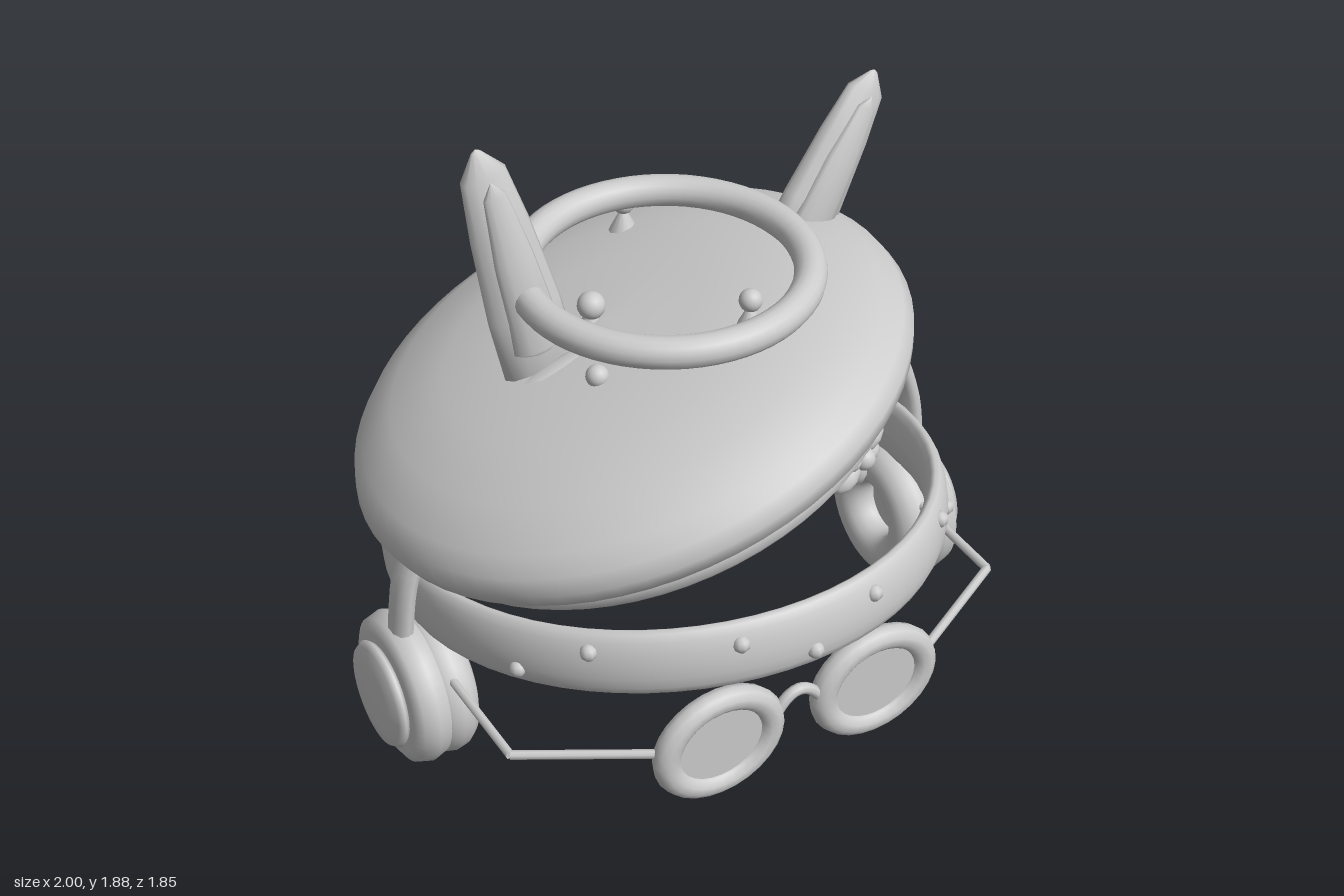
import * as THREE from 'three';

export function createModel() {
  const root = new THREE.Group();
  const plaster = new THREE.MeshStandardMaterial({ color: 0xcccccc, side: THREE.DoubleSide });
  plaster.name = 'plain grey';

  const V = (x, y, z) => new THREE.Vector3(x, y, z);
  const add = (name, geo, pos = [0, 0, 0], rot = [0, 0, 0], scale = [1, 1, 1], parent = root) => {
    const m = new THREE.Mesh(geo, plaster);
    m.name = name;
    m.position.set(...pos);
    m.rotation.set(...rot);
    m.scale.set(...scale);
    parent.add(m);
    return m;
  };
  const group = (name, pos, rot = [0, 0, 0], parent = root) => {
    const g = new THREE.Group();
    g.name = name;
    g.position.set(...pos);
    g.rotation.set(...rot);
    parent.add(g);
    return g;
  };
  const lathe = (pts, seg = 48) => new THREE.LatheGeometry(pts.map(p => new THREE.Vector2(...p)), seg);
  const ball = (r, seg = 16) => new THREE.SphereGeometry(r, seg, Math.ceil(seg * 0.7));
  const rod = (name, a, b, r) => {
    const d = b.clone().sub(a);
    const m = add(name, new THREE.CylinderGeometry(r, r, d.length(), 8));
    m.position.copy(a).addScaledVector(d, 0.5);
    m.quaternion.setFromUnitVectors(V(0, 1, 0), d.normalize());
  };

  // Tilted beret: domed top, rolled lip, nearly flat underside and an inner rim
  const beret = group('beret', [-0.1, 1.03, 0.02], [-0.134, 0, 0.304]);
  add('beretDome', lathe([[0, -0.015], [0.3, -0.01], [0.42, 0.01], [0.6, 0.01], [0.7, -0.01], [0.73, -0.07], [0.79, -0.085],
    [0.845, -0.05], [0.862, 0], [0.845, 0.05], [0.8, 0.1], [0.68, 0.175], [0.5, 0.22], [0.3, 0.245], [0, 0.255]], 64),
  [0, 0, 0], [0, 0, 0], [1, 1, 1], beret);
  add('beretRim', new THREE.TorusGeometry(0.742, 0.037, 10, 64), [0, -0.11, 0], [Math.PI / 2, 0, 0], [1, 1, 1.45], beret);

  // Sloping headband with studs
  const band = group('headband', [0, 0.555, 0.05], [-0.147, 0, 0]);
  const section = [];
  for (let i = 0; i <= 16; i++) {
    const a = -i / 16 * Math.PI * 2;
    section.push([0.822 - 0.036 * Math.cos(a), 0.105 * Math.sin(a)]);
  }
  add('headbandRing', lathe(section, 64), [0, 0, 0], [0, 0, 0], [1, 1, 1], band);
  for (const [x, y] of [[-0.59, 0.045], [-0.22, 0.04], [0.22, 0.04], [0.59, 0.045], [-0.73, -0.05], [0, -0.05], [0.73, -0.05]]) {
    add('stud', ball(0.026, 8), [x, y, Math.sqrt(0.85 ** 2 - x * x)], [0, 0, 0], [1, 1, 1], band);
  }

  // Headphone bow, just breaking through the crown of the beret
  const bow = new THREE.CatmullRomCurve3([V(0.9, 0.42, 0), V(0.865, 0.7, 0), V(0.765, 0.92, 0), V(0.58, 1.09, 0), V(0.3, 1.21, 0),
    V(0, 1.25, 0), V(-0.3, 1.205, 0), V(-0.52, 1.105, 0), V(-0.74, 0.9, 0), V(-0.86, 0.68, 0), V(-0.9, 0.42, 0)]);
  add('headphoneBow', new THREE.TubeGeometry(bow, 64, 0.034, 10), [0, 0, 0.06], [0, 0, 0], [1, 1, 1.6]);

  // Ear cups: cushion, housing and outer cap
  const housing = lathe([[0, 0.83], [0.19, 0.83], [0.225, 0.85], [0.238, 0.89], [0.225, 0.935], [0.19, 0.955], [0, 0.955]]);
  const cap = lathe([[0, 0.95], [0.155, 0.95], [0.168, 0.968], [0.155, 0.988], [0.1, 0.998], [0, 1.0]]);
  const cushion = new THREE.TorusGeometry(0.16, 0.074, 14, 40);
  for (const s of [1, -1]) {
    const cup = group(s > 0 ? 'leftEarCup' : 'rightEarCup', [0, 0.245, 0.06]);
    add('cupHousing', housing, [0, 0, 0], [0, 0, -s * Math.PI / 2], [1, 1, 1], cup);
    add('cupCap', cap, [0, 0, 0], [0, 0, -s * Math.PI / 2], [1, 1, 1], cup);
    add('cupCushion', cushion, [s * 0.81, 0, 0], [0, Math.PI / 2, 0], [1, 1, 1], cup);

    // Goggles: oval frame, lens and side rods
    const gog = group(s > 0 ? 'leftGoggle' : 'rightGoggle', [s * 0.263, 0.337, 0.815]);
    add('goggleFrame', new THREE.TorusGeometry(0.186, 0.045, 10, 28), [0, 0, 0], [0, 0, 0], [0.93, 0.82, 0.86], gog);
    add('goggleLens', new THREE.CylinderGeometry(0.17, 0.17, 0.03, 32), [0, 0, 0], [Math.PI / 2, 0, 0], [0.96, 1, 0.85], gog);
    rod('goggleArm', V(s * 0.43, 0.37, 0.82), V(s * 0.82, 0.37, 0.6), 0.014);
    rod('goggleTemple', V(s * 0.82, 0.37, 0.6), V(s * 0.82, 0.37, 0.18), 0.014);
  }
  const bridge = new THREE.QuadraticBezierCurve3(V(-0.075, 0.36, 0.82), V(0, 0.48, 0.82), V(0.075, 0.36, 0.82));
  add('goggleBridge', new THREE.TubeGeometry(bridge, 14, 0.018, 8));

  // Knot and two pointed tails at the back
  add('knot', ball(0.105, 24), [0, 0.42, -0.84], [0, 0, 0], [1.05, 1, 0.84]);
  const leaf = new THREE.Shape();
  leaf.moveTo(-0.025, 0);
  leaf.quadraticCurveTo(-0.07, -0.13, -0.075, -0.22);
  leaf.quadraticCurveTo(-0.06, -0.29, 0, -0.36);
  leaf.quadraticCurveTo(0.06, -0.29, 0.075, -0.22);
  leaf.quadraticCurveTo(0.07, -0.13, 0.025, 0);
  const tail = new THREE.ExtrudeGeometry(leaf, { depth: 0.012, bevelSize: 0.008, bevelThickness: 0.012, bevelSegments: 2 });
  for (const s of [1, -1]) add('tail', tail, [s * 0.025, 0.4, -0.9], [-0.08, -s * 0.15, s * 0.36]);

  // Tall flattened ears with a raised inner panel
  const ear = (name, base, tip, w) => {
    const a = V(...base), d = V(...tip).sub(a), h = d.length();
    const g = group(name, base);
    g.quaternion.setFromUnitVectors(V(0, 1, 0), d.normalize());
    add('earShell', lathe([[0, 0], [w, 0], [w * 0.98, h * 0.3], [w * 0.8, h * 0.65], [w * 0.6, h * 0.89], [w * 0.12, h * 0.99], [0, h]], 12),
      [0, 0, 0], [0, 0, 0], [1, 1, 0.55], g);
    add('innerEar', lathe([[0, h * 0.1], [w * 0.7, h * 0.16], [w * 0.52, h * 0.55], [w * 0.3, h * 0.82], [0, h * 0.88]], 12),
      [0, 0, w * 0.36], [0, 0, 0], [1, 1, 0.5], g);
  };
  ear('rightEar', [-0.36, 1.15, -0.02], [-0.505, 1.89, -0.11], 0.118);
  ear('leftEar', [0.47, 1.26, -0.04], [0.8, 1.77, -0.1], 0.108);

  // Level halo ring
  add('halo', new THREE.TorusGeometry(0.415, 0.048, 16, 64), [0, 1.43, 0.055], [Math.PI / 2, 0, 0]);

  // Bell-shaped charm and small beads on the beret, with two beads beneath
  add('charmCone', new THREE.ConeGeometry(0.06, 0.14, 16), [-0.19, 1.255, -0.04]);
  add('charmBall', ball(0.042), [-0.19, 1.31, -0.04]);
  for (const p of [[-0.31, 1.26, 0.21], [0.11, 1.45, 0.34], [0.12, 1.36, -0.4]]) {
    add('bead', ball(0.034), p);
    add('beadBase', new THREE.ConeGeometry(0.045, 0.09, 12), [p[0], p[1] - 0.05, p[2]]);
  }
  for (const p of [[0.1, 1.12, 0.29], [0.1, 1.04, -0.23]]) add('underBead', ball(0.024, 10), p);

  // Plump flowers tucked under the beret
  const petal = ball(1, 12);
  const flower = (x, y, z, r, rot) => {
    const g = group('flower', [x, y, z], rot);
    for (let i = 0; i < 6; i++) {
      const a = i / 6 * Math.PI * 2 + 0.3;
      add('petal', petal, [Math.cos(a) * r * 0.55, Math.sin(a) * r * 0.55, 0.01], [0, 0, a], [r * 0.48, r * 0.28, r * 0.36], g);
    }
    add('flowerCentre', ball(r * 0.28), [0, 0, r * 0.3], [0, 0, 0], [1, 1, 1], g);
  };
  flower(0.31, 0.91, 0.44, 0.13, [0.1, 0.2, 0]);
  flower(0.46, 0.8, 0.37, 0.13, [0.2, 0.5, 0.3]);
  flower(-0.47, 0.77, 0.27, 0.13, [0.1, -0.1, 0]);

  // Round fruit with plump pointed leaves
  add('fruit', ball(0.12, 24), [0.62, 0.86, 0.05]);
  const fruitLeaf = lathe([[0, -0.13], [0.05, -0.09], [0.065, -0.02], [0.045, 0.07], [0, 0.15]], 14);
  for (const s of [1, 0, -1]) add('fruitLeaf', fruitLeaf, [0.47, 1.01, 0.05 + s * 0.07], [s * 0.35, 0, 0.75]);
  return root;
}
